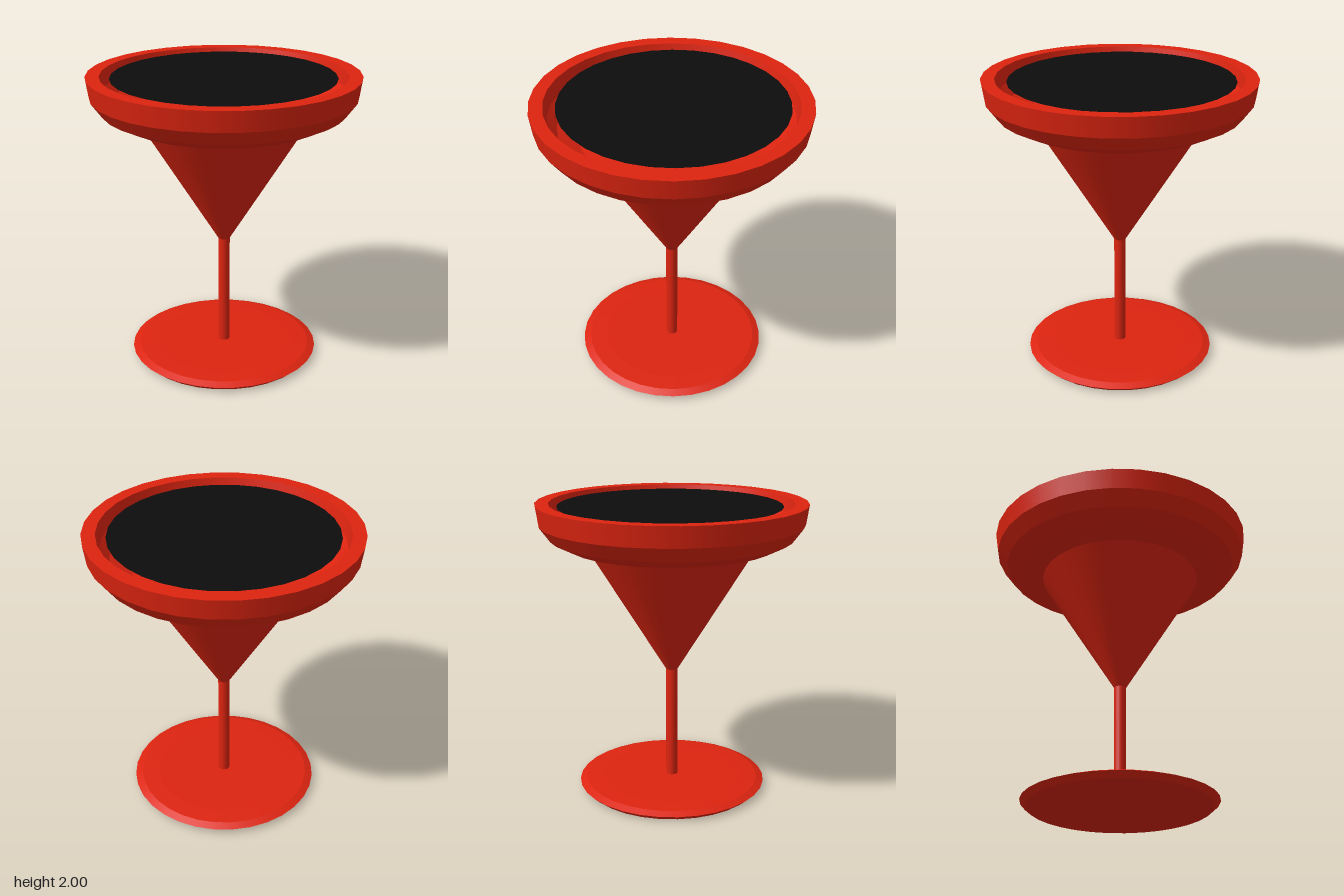
import * as THREE from 'three';
import { mergeGeometries } from 'three/addons/utils/BufferGeometryUtils.js';

const SIDES = 32;
const red = new THREE.MeshStandardMaterial({ color: 0xdd2410 });
const black = new THREE.MeshStandardMaterial({ color: 0x0d0d0d });

// Turned part: each band is smooth around the axis, with a crisp edge between bands.
function turned(name, profile) {
  const pts = profile.map(([r, y]) => new THREE.Vector2(r, y));
  const bands = pts.slice(1).map((p, i) => new THREE.LatheGeometry([pts[i], p], SIDES));
  const mesh = new THREE.Mesh(mergeGeometries(bands), red);
  mesh.name = name;
  return mesh;
}

export function createModel() {
  const group = new THREE.Group();
  group.name = 'cocktailGlass';

  // Flat foot with a bevelled edge
  group.add(turned('foot', [[0, 0], [0.61, 0], [0.65, 0.035], [0.6, 0.055], [0.48, 0.06], [0, 0.06]]));

  // Thin stem
  group.add(turned('stem', [[0.04, 0.05], [0.04, 0.85]]));

  // Conical lower bowl
  group.add(turned('lowerBowl', [[0.04, 0.845], [0.555, 1.685]]));

  // Wide rounded upper bowl: outside, rim, then inside
  group.add(turned('upperBowl', [
    [0, 1.68], [0.56, 1.68], [0.69, 1.71], [0.81, 1.77], [0.88, 1.865], [0.9, 2],
    [0.81, 2], [0.79, 1.9], [0.73, 1.83], [0.6, 1.77], [0, 1.76],
  ]));

  // Drink surface just below the rim
  const drink = new THREE.Mesh(new THREE.CircleGeometry(0.745, SIDES), black);
  drink.name = 'drink';
  drink.rotation.x = -Math.PI / 2;
  drink.position.set(-0.01, 1.98, -0.01);
  group.add(drink);

  return group;
}
